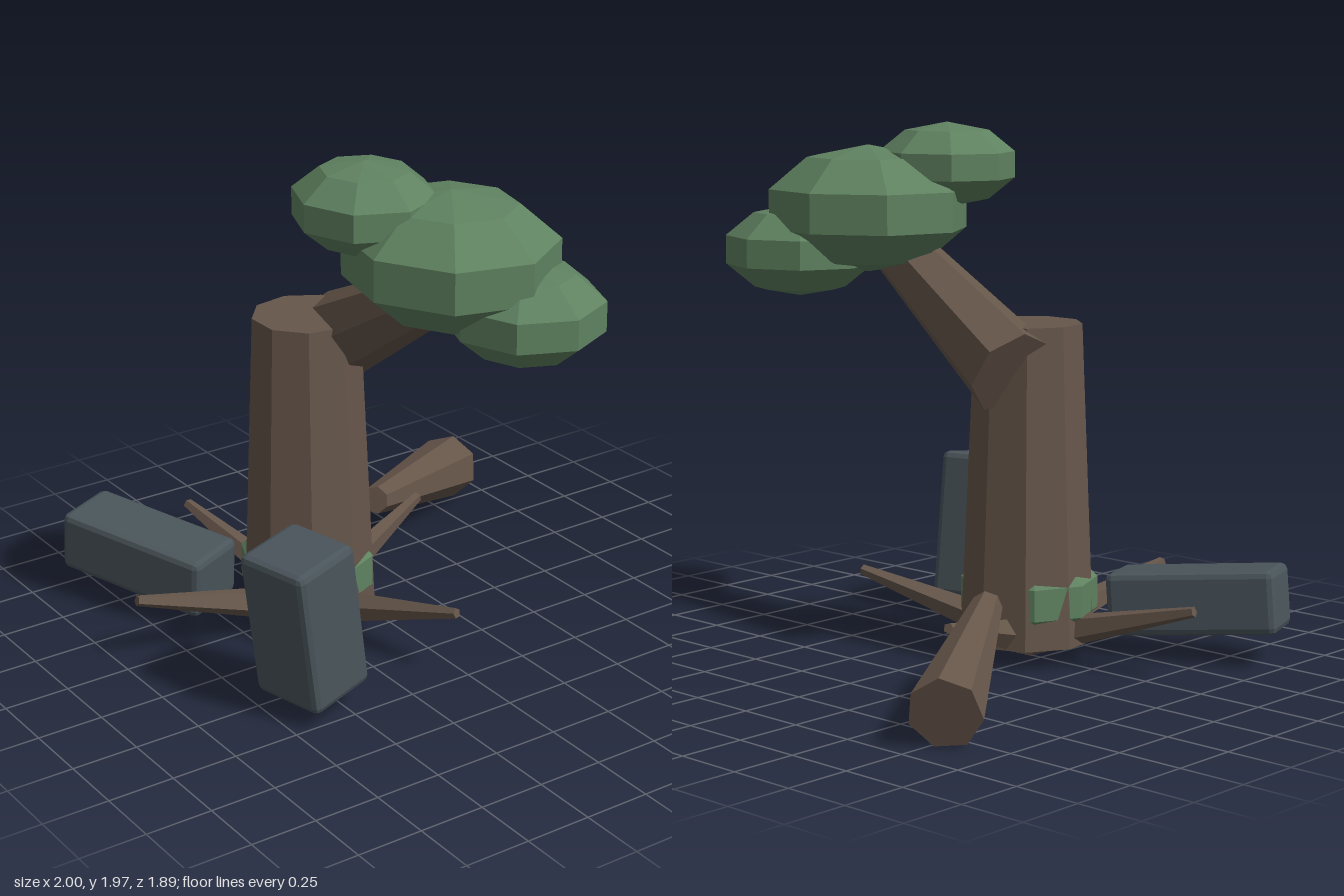
import * as THREE from 'three';
import { RoundedBoxGeometry } from 'three/addons/geometries/RoundedBoxGeometry.js';

const flat = (color) => new THREE.MeshStandardMaterial({ color, flatShading: true });

export function createModel() {
  const group = new THREE.Group();
  const bark = flat(0x66564a);
  const leaf = flat(0x5f8260);
  const stone = flat(0x4a555b);

  const add = (name, geometry, material) => {
    const mesh = new THREE.Mesh(geometry, material);
    mesh.name = name;
    group.add(mesh);
    return mesh;
  };

  // Tapered limb running from point a (radius ra) to point b (radius rb)
  const limb = (name, a, ra, b, rb, sides) => {
    const start = new THREE.Vector3(...a);
    const end = new THREE.Vector3(...b);
    const axis = end.clone().sub(start);
    const mesh = add(name, new THREE.CylinderGeometry(rb, ra, axis.length(), sides), bark);
    mesh.position.copy(start).add(end).multiplyScalar(0.5);
    mesh.quaternion.setFromUnitVectors(new THREE.Vector3(0, 1, 0), axis.normalize());
    return mesh;
  };

  // Squashed low-poly sphere with an upright band around its middle
  const clump = (name, center, radii, turn = 0) => {
    const mesh = add(name, new THREE.SphereGeometry(1, 8, 5), leaf);
    mesh.position.set(...center);
    mesh.scale.set(...radii);
    mesh.rotation.y = turn;
  };

  // Block with chamfered edges
  const rock = (name, size, center, rotation) => {
    const mesh = add(name, new RoundedBoxGeometry(...size, 1, 0.025), stone);
    mesh.position.set(...center);
    mesh.rotation.set(...rotation, 'YXZ');
  };

  // Trunk and the leaning upper bough
  limb('trunk', [-0.19, 0.08, 0.24], 0.25, [-0.19, 1.26, 0.24], 0.2, 9).rotation.y = Math.PI;
  limb('bough', [-0.28, 1.1, 0.05], 0.17, [0.58, 1.57, 0.23], 0.1, 7);

  // Roots splaying up and out from the foot of the trunk
  const rootTips = [[-0.27, 0.94], [-0.88, 0.36], [-0.41, -0.42], [0.48, 0.04]];
  for (const [x, z] of rootTips) {
    limb('root', [-0.19, 0.08, 0.24], 0.075, [x, 0.265, z], 0.02, 5);
  }

  // Fallen log behind the tree
  limb('fallenLog', [-0.82, 0.13, -0.87], 0.13, [-0.4, 0.31, -0.21], 0.055, 7);

  // Foliage
  clump('mainFoliage', [0.49, 1.65, 0.09], [0.41, 0.24, 0.38], 0.15);
  clump('upperFoliage', [0.28, 1.815, 0.3], [0.28, 0.16, 0.26]);
  clump('lowerFoliage', [0.71, 1.49, -0.06], [0.305, 0.175, 0.285]);

  // Moss just breaking through the bark
  clump('moss', [-0.19, 0.25, 0.25], [0.272, 0.19, 0.262]);

  // Rocks
  rock('lyingRock', [0.64, 0.235, 0.26], [-0.66, 0.225, 0.665], [0.05, 0.4, -0.09]);
  rock('standingRock', [0.3, 0.57, 0.28], [0.365, 0.37, 0.62], [0.14, 0.23, 0]);

  return group;
}
